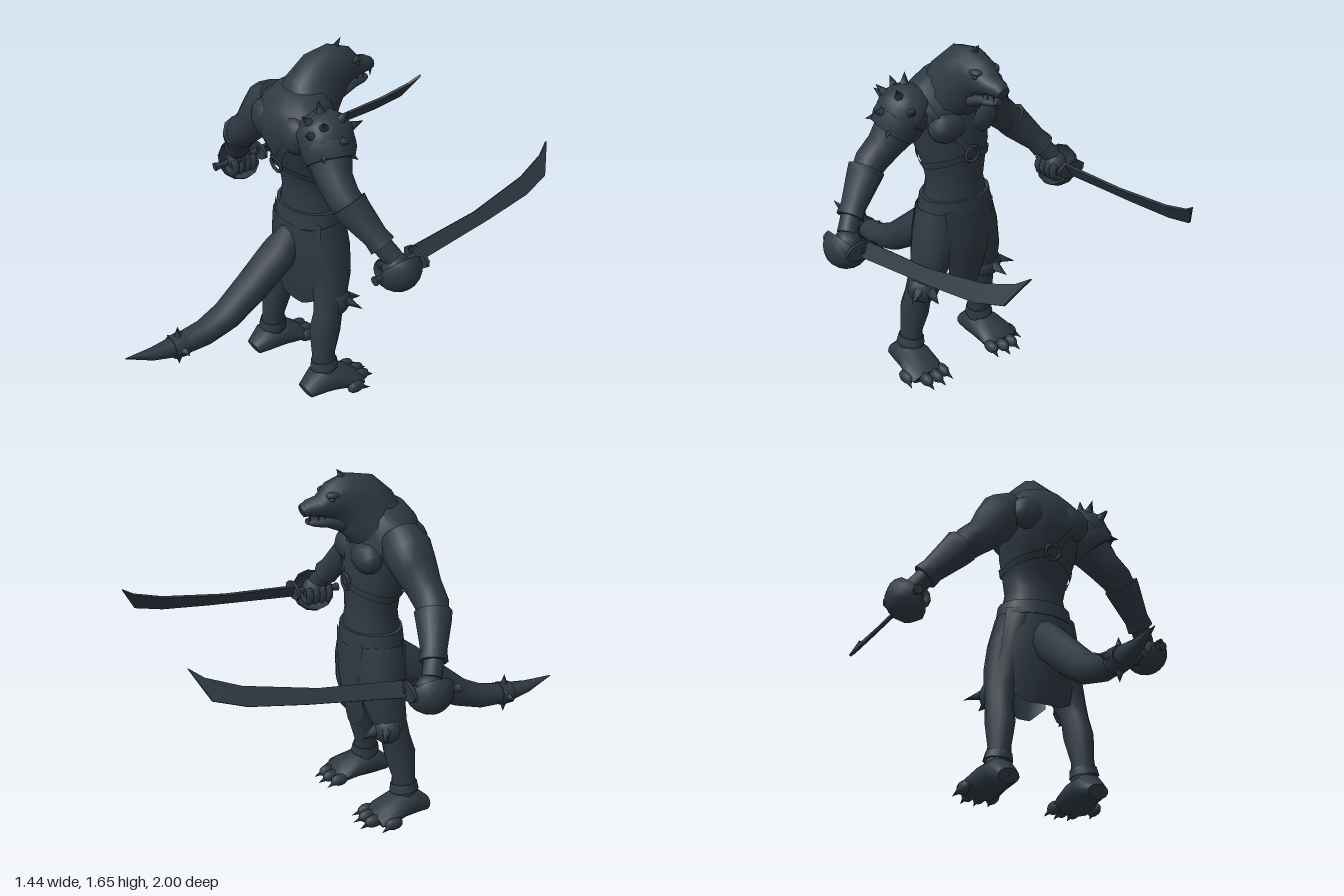
import * as THREE from 'three';
import { toCreasedNormals } from 'three/addons/utils/BufferGeometryUtils.js';

const V = (a) => new THREE.Vector3(...a);
const X = V([1, 0, 0]), Y = V([0, 1, 0]), Z = V([0, 0, 1]);

// Body cross-sections: y, centre z, half width, half depth
const TORSO = [[0.8, 0.015, 0.17, 0.13], [0.9, 0.015, 0.155, 0.125], [0.98, 0.015, 0.14, 0.115],
  [1.06, 0.02, 0.155, 0.12], [1.15, 0.04, 0.18, 0.145], [1.25, 0.065, 0.19, 0.165],
  [1.34, 0.075, 0.215, 0.16], [1.42, 0.08, 0.185, 0.13], [1.48, 0.06, 0.12, 0.1]];

// Elliptical rings [x, y, z, radiusU, radiusV] swept along their own centres, closed at both ends
function loft(secs, ref, n = 12, axis = null) {
  const rings = secs.map((s, i) => {
    const t = axis ? axis.clone() : V(secs[Math.min(i + 1, secs.length - 1)].slice(0, 3))
      .sub(V(secs[Math.max(i - 1, 0)].slice(0, 3))).normalize();
    const u = t.clone().cross(ref).normalize();
    return { s, u, v: u.clone().cross(t) };
  });
  const cap = (r) => ({ ...r, s: [...r.s.slice(0, 3), 0.0005, 0.0005] });
  const all = [cap(rings[0]), ...rings, cap(rings[rings.length - 1])];
  const pos = [], idx = [];
  all.forEach(({ s, u, v }, r) => {
    for (let k = 0; k < n; k++) {
      const a = (k / n) * Math.PI * 2;
      const p = V(s.slice(0, 3)).addScaledVector(u, Math.cos(a) * s[3]).addScaledVector(v, Math.sin(a) * (s[4] ?? s[3]));
      pos.push(p.x, p.y, p.z);
      if (r) {
        const q = (k + 1) % n, lo = (r - 1) * n, hi = r * n;
        idx.push(lo + k, hi + k, hi + q, lo + k, hi + q, lo + q);
      }
    }
  });
  return build(pos, idx, 1);
}

function build(pos, idx, crease) {
  const g = new THREE.BufferGeometry();
  g.setAttribute('position', new THREE.Float32BufferAttribute(pos, 3));
  g.setIndex(idx);
  return toCreasedNormals(g, crease);
}

// Mirror across x, keeping faces outward
function mirrored(geo) {
  const g = geo.index ? geo.toNonIndexed() : geo.clone();
  g.scale(-1, 1, 1);
  for (const at of Object.values(g.attributes)) {
    const w = at.itemSize, a = at.array;
    for (let i = 0; i < at.count; i += 3)
      for (let c = 0; c < w; c++) {
        const p = (i + 1) * w + c, q = (i + 2) * w + c;
        [a[p], a[q]] = [a[q], a[p]];
      }
  }
  return g;
}

function spike(from, to, r, n = 6) {
  const a = V(from), d = V(to).sub(a), h = d.length();
  return new THREE.ConeGeometry(r, h, n).translate(0, h / 2, 0)
    .applyQuaternion(new THREE.Quaternion().setFromUnitVectors(Y, d.normalize())).translate(a.x, a.y, a.z);
}

const ball = (x, y, z, rx, ry, rz) => new THREE.SphereGeometry(1, 12, 8).scale(rx, ry, rz).translate(x, y, z);

// Half-sphere shell whose pole points along dir
const shell = (c, dir, r) => new THREE.SphereGeometry(r, 12, 5, 0, Math.PI * 2, 0, Math.PI / 2)
  .applyQuaternion(new THREE.Quaternion().setFromUnitVectors(Y, V(dir).normalize())).translate(...c);

// Point on the torso surface; angle 0 is the tail side
function onTorso(a, y, off) {
  let i = 0;
  while (i < TORSO.length - 2 && TORSO[i + 1][0] < y) i++;
  const f = (y - TORSO[i][0]) / (TORSO[i + 1][0] - TORSO[i][0]);
  const [zc, rx, rz] = [1, 2, 3].map((k) => THREE.MathUtils.lerp(TORSO[i][k], TORSO[i + 1][k], f));
  return [Math.sin(a) * (rx + off), y, zc + Math.cos(a) * (rz + off)];
}

// Flat band laid over the torso between [angle, y] pairs
function strap(a0, y0, a1, y1) {
  const pos = [], idx = [], n = 14, len = Math.hypot((a1 - a0) * 0.17, y1 - y0);
  const da = (-(y1 - y0) / len) * 0.016 / 0.17, dy = ((a1 - a0) * 0.17 / len) * 0.016;
  for (let i = 0; i <= n; i++) {
    const a = a0 + (a1 - a0) * i / n, y = y0 + (y1 - y0) * i / n;
    pos.push(...onTorso(a - da, y - dy, 0.009), ...onTorso(a + da, y + dy, 0.009));
    if (i) idx.push(2 * i - 2, 2 * i, 2 * i + 1, 2 * i - 2, 2 * i + 1, 2 * i - 1);
  }
  return build(pos, idx, 1);
}

// Hanging cloth: half widths at top and hem, hem height at middle and edge, z and bow
function cloth(w0, w1, hemMid, hemSide, z, bow) {
  const g = new THREE.PlaneGeometry(2, 1, 12, 6), p = g.attributes.position;
  for (let i = 0; i < p.count; i++) {
    const s = p.getX(i), t = 0.5 - p.getY(i);
    const hem = hemMid + (hemSide - hemMid) * Math.max(0, Math.abs(s) - 0.35) / 0.65;
    p.setXYZ(i, s * (w0 + (w1 - w0) * t), 0.87 + (hem - 0.87) * t,
      z + bow * s * s + Math.sign(z) * (0.02 * Math.sin(t * Math.PI) - 0.03 * t));
  }
  g.computeVertexNormals();
  return g;
}

export function createModel() {
  const model = new THREE.Group();
  const slate = new THREE.MeshStandardMaterial({ color: 0x2e3943, side: THREE.DoubleSide });
  slate.name = 'dark slate';
  const add = (name, geo) => {
    const m = new THREE.Mesh(geo, slate);
    m.name = name;
    model.add(m);
  };
  const pair = (name, geo) => { add(name + 'Left', geo); add(name + 'Right', mirrored(geo)); };

  // Torso, neck and head
  add('torso', loft(TORSO.map(([y, z, rx, rz]) => [0, y, z, rx, rz]), Z, 18, Y));
  add('neckAndHead', loft([[0, 1.33, 0.06, 0.13, 0.17], [0, 1.435, 0.0, 0.145, 0.13], [0, 1.49, -0.06, 0.143, 0.105],
    [0, 1.52, -0.125, 0.115, 0.088], [0, 1.515, -0.18, 0.085, 0.074], [0, 1.5, -0.235, 0.045, 0.055],
    [0, 1.497, -0.285, 0.037, 0.043], [0, 1.488, -0.315, 0.025, 0.03]], X, 14));
  add('lowerJaw', loft([[0, 1.41, -0.13, 0.04, 0.06], [0, 1.428, -0.2, 0.028, 0.05],
    [0, 1.432, -0.26, 0.02, 0.038], [0, 1.437, -0.29, 0.012, 0.022]], X, 10));
  add('crest', spike([0, 1.57, -0.09], [0, 1.655, -0.15], 0.042, 4));
  add('nose', ball(0, 1.505, -0.305, 0.028, 0.018, 0.018));
  pair('brow', ball(0.048, 1.555, -0.185, 0.025, 0.017, 0.035));
  pair('eye', ball(0.06, 1.54, -0.195, 0.012, 0.01, 0.014));
  for (const z of [-0.22, -0.25, -0.29]) pair('tooth', spike([0.034, 1.475, z], [0.034, 1.445, z], 0.008, 4));
  pair('chestMuscle', ball(0.085, 1.265, -0.045, 0.1, 0.075, 0.065));
  pair('backMuscle', ball(0.1, 1.32, 0.17, 0.1, 0.09, 0.06));

  // Arms, bracers and fists
  pair('arm', loft([[0.15, 1.37, 0.08, 0.09], [0.21, 1.32, 0.085, 0.112], [0.265, 1.25, 0.1, 0.098], [0.32, 1.18, 0.115, 0.08],
    [0.385, 1.125, 0.12, 0.075], [0.47, 1.04, 0.09, 0.062], [0.55, 0.955, 0.045, 0.045], [0.6, 0.89, 0.01, 0.045]], Z, 12));
  pair('bracer', loft([[0.415, 1.105, 0.11, 0.083], [0.44, 1.075, 0.1, 0.078], [0.53, 0.98, 0.055, 0.057],
    [0.56, 0.945, 0.04, 0.062]], Z, 10));
  pair('fist', ball(0.605, 0.85, 0, 0.06, 0.065, 0.065));
  for (let i = 0; i < 4; i++)
    pair('finger', new THREE.TorusGeometry(0.04, 0.018, 6, 8, 4.2).rotateZ(2.2).translate(0.59, 0.835, 0.055 - i * 0.034));
  pair('thumb', spike([0.565, 0.87, 0.03], [0.545, 0.81, -0.07], 0.024));

  // Curved swords with a shell guard around each hand
  pair('swordGrip', loft([[0.625, 0.832, 0.13, 0.022], [0.622, 0.834, 0.1, 0.015], [0.6, 0.865, -0.125, 0.016]], Y, 8));
  pair('handGuard', shell([0.612, 0.845, -0.005], [0.75, -0.65, 0], 0.106));
  pair('crossGuard', new THREE.CylinderGeometry(0.07, 0.07, 0.016, 10).scale(1.15, 1, 0.6).rotateX(Math.PI / 2).translate(0.61, 0.86, -0.11));
  const blade = new THREE.Shape([[0, 0], [0.45, -0.005], [0.7, 0], [0.845, 0.03], [0.935, 0.165], [0.87, 0.125],
    [0.72, 0.085], [0.4, 0.06], [0, 0.075]].map((p) => new THREE.Vector2(...p)));
  const along = V([-0.087, 0.116, -0.99]).normalize();
  const wide = V([-0.514, 0.857, 0]).addScaledVector(along, -0.144).normalize();
  pair('swordBlade', new THREE.ExtrudeGeometry(blade, { depth: 0.012, bevelEnabled: false }).translate(0, 0, -0.006)
    .applyMatrix4(new THREE.Matrix4().makeBasis(along, wide, along.clone().cross(wide)).setPosition(0.615, 0.83, -0.1)));

  // Legs and clawed feet
  pair('leg', loft([[0.1, 0.84, 0.02, 0.085, 0.115], [0.12, 0.7, 0.01, 0.1, 0.115], [0.15, 0.58, 0.01, 0.088, 0.1],
    [0.18, 0.47, 0.03, 0.068, 0.078], [0.19, 0.4, 0.05, 0.06, 0.07], [0.195, 0.32, 0.07, 0.065, 0.075],
    [0.205, 0.2, 0.085, 0.05, 0.055], [0.212, 0.08, 0.085, 0.06, 0.065]], Z, 12));
  pair('ankleCuff', loft([[0.207, 0.17, 0.085, 0.058, 0.063], [0.212, 0.13, 0.085, 0.065, 0.07]], Z, 10));
  pair('foot', loft([[0.215, 0.035, 0.195, 0.033, 0.05], [0.215, 0.068, 0.12, 0.068, 0.078], [0.22, 0.066, 0.05, 0.066, 0.085],
    [0.23, 0.045, -0.03, 0.045, 0.098], [0.23, 0.028, -0.075, 0.028, 0.09]], X, 12));
  for (const [x, tx, tz] of [[0.165, 0.14, -0.15], [0.21, 0.2, -0.17], [0.255, 0.265, -0.165], [0.3, 0.34, -0.09]]) {
    pair('toe', ball((x + tx) / 2, 0.03, tz + 0.07, 0.026, 0.03, 0.045));
    pair('toeClaw', spike([(x + tx) / 2, 0.032, tz + 0.07], [tx, 0.008, tz], 0.022));
  }
  pair('kneePad', shell([0.185, 0.46, 0.015], [0.35, 0.1, -1], 0.078));
  pair('kneeSpikeOuter', spike([0.22, 0.475, -0.01], [0.31, 0.445, -0.06], 0.03));
  pair('kneeSpikeFront', spike([0.19, 0.46, -0.045], [0.205, 0.435, -0.125], 0.03));

  // Belt and cloth panels
  add('belt', new THREE.CylinderGeometry(0.173, 0.183, 0.07, 20).scale(1, 1, 0.78).translate(0, 0.875, 0.015));
  add('backCloth', cloth(0.175, 0.225, 0.42, 0.5, 0.15, -0.07));
  add('frontCloth', cloth(0.14, 0.1, 0.42, 0.48, -0.12, 0.03));

  // Tail with a spiked ring
  add('tail', loft([[0, 0.78, 0.08, 0.07, 0.06], [0, 0.68, 0.19, 0.085, 0.085], [0, 0.555, 0.34, 0.082, 0.077], [0, 0.455, 0.48, 0.07, 0.07],
    [0, 0.41, 0.6, 0.06, 0.06], [0, 0.396, 0.74, 0.05, 0.052], [0, 0.405, 0.87, 0.028, 0.032], [0, 0.435, 1, 0.002, 0.002]], X, 10));
  add('tailRing', loft([[0, 0.398, 0.705, 0.058, 0.06], [0, 0.396, 0.77, 0.053, 0.055]], X, 10));
  for (let i = 0; i < 4; i++) {
    const c = Math.cos(i * Math.PI / 2), s = Math.sin(i * Math.PI / 2);
    add('tailSpike', spike([c * 0.045, 0.396 + s * 0.045, 0.735], [c * 0.1, 0.396 + s * 0.1, 0.735], 0.02));
  }

  // Harness straps and rings
  const P = Math.PI;
  [[0, 1.14, 1.0, 1.38], [0, 1.14, 1.5, 1.07], [0, 1.14, -1.5, 1.07],
    [P, 1.13, P - 1.0, 1.38], [P, 1.13, 1.5, 1.07], [P, 1.13, P * 2 - 1.5, 1.07]].forEach((s) => add('strap', strap(...s)));
  add('backRing', new THREE.TorusGeometry(0.036, 0.008, 6, 14).rotateX(0.2).translate(0, 1.14, 0.196));
  add('chestRing', new THREE.TorusGeometry(0.036, 0.008, 6, 14).translate(0, 1.13, -0.11));

  // Layered shoulder guard on one side only, with spikes
  add('shoulderGuardUpper', shell([0.215, 0.0 + 1.325, 0.09], [0.7, 0.7, 0.1], 0.13));
  add('shoulderGuardLower', loft([[0.235, 1.31, 0.092, 0.122], [0.255, 1.28, 0.098, 0.122], [0.28, 1.245, 0.105, 0.105]], Z, 12));
  const centre = V([0.22, 1.33, 0.09]);
  for (const [x, y, z] of [[-0.02, 0.15, 0.02], [0.07, 0.12, -0.05], [0.08, 0.11, 0.07], [0.125, 0.03, 0.0], [0.12, -0.05, -0.05],
    [0.11, -0.03, 0.09], [0.05, 0.07, 0.14], [0.05, 0.05, -0.13], [-0.01, 0.11, 0.1]]) {
    const d = V([x, y, z]).normalize();
    add('shoulderSpike', spike(centre.clone().addScaledVector(d, 0.105).toArray(), centre.clone().addScaledVector(d, 0.175).toArray(), 0.027));
  }
  return model;
}
